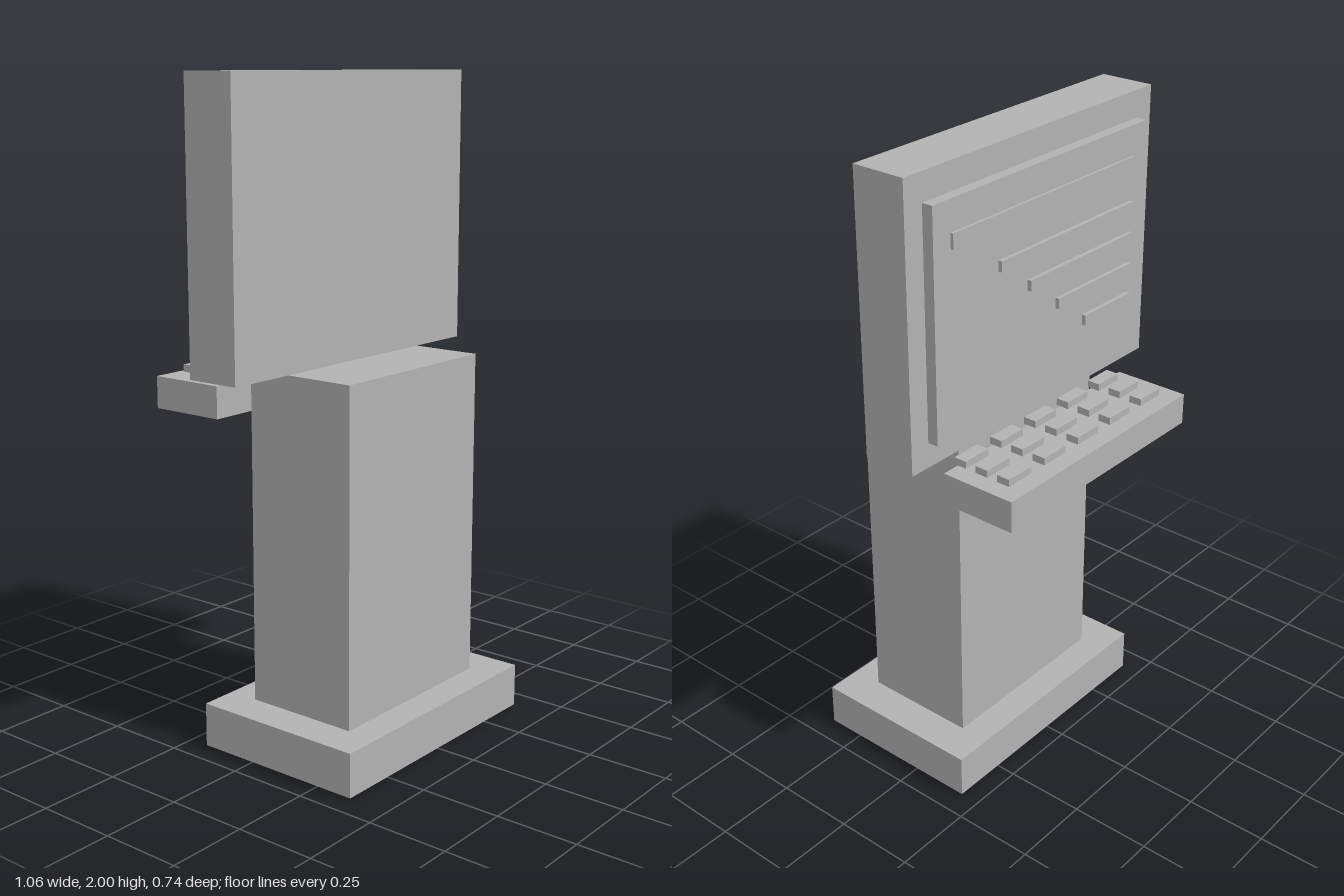
import * as THREE from 'three';

export function createModel() {
  const model = new THREE.Group();
  model.name = 'computerKiosk';

  const grey = new THREE.MeshStandardMaterial({ color: 0xb3b3b3 });
  grey.name = 'plain grey';

  // Box given by its extents along each axis
  function block(name, [x0, x1], [y0, y1], [z0, z1], parent = model) {
    const mesh = new THREE.Mesh(new THREE.BoxGeometry(x1 - x0, y1 - y0, z1 - z0), grey);
    mesh.position.set((x0 + x1) / 2, (y0 + y1) / 2, (z0 + z1) / 2);
    mesh.name = name;
    parent.add(mesh);
  }

  // Stand
  block('base', [-0.423, 0.423], [0, 0.135], [-0.187, 0.37]);
  block('column', [-0.307, 0.307], [0.135, 1.155], [-0.092, 0.273]);

  // Monitor, whose screen faces the back
  block('monitorCase', [-0.528, 0.528], [1.155, 2], [-0.12, 0.051]);
  block('screen', [-0.461, 0.461], [1.232, 1.917], [-0.154, -0.12]);

  // Raised lines on the screen: a title and four shorter rows
  const lines = new THREE.Group();
  lines.name = 'screenLines';
  model.add(lines);
  block('titleLine', [-0.396, 0.394], [1.781, 1.826], [-0.163, -0.15], lines);
  [0.6, 0.475, 0.348, 0.22].forEach((width, i) => {
    const y = 1.675 - i * 0.0965;
    block('textLine', [-0.396, -0.396 + width], [y - 0.016, y + 0.016], [-0.167, -0.15], lines);
  });

  // Keyboard shelf with three rows of five keys
  block('keyboard', [-0.413, 0.411], [1.02, 1.117], [-0.371, -0.129]);
  const keys = new THREE.Group();
  keys.name = 'keys';
  model.add(keys);
  for (let row = 0; row < 3; row++) {
    for (let col = 0; col < 5; col++) {
      const x = -0.3 + col * 0.154;
      const z = -0.148 - row * 0.0775;
      block('key', [x - 0.048, x + 0.048], [1.126, 1.148], [z - 0.021, z + 0.021], keys);
    }
  }
  return model;
}
